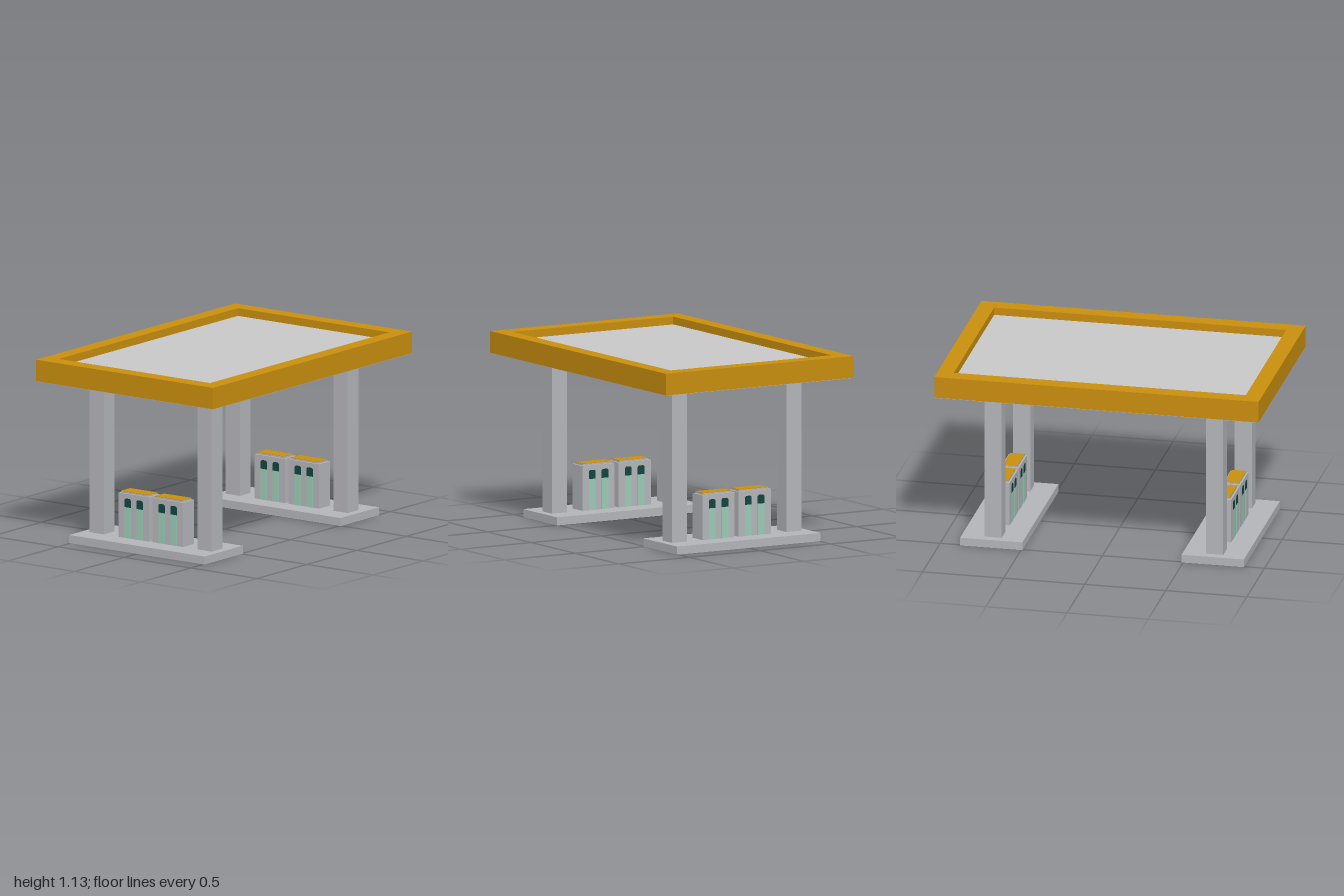
import * as THREE from 'three';

const paint = (name, color) => {
  const m = new THREE.MeshStandardMaterial({ color });
  m.name = name;
  return m;
};

export function createModel() {
  const concrete = paint('concrete grey', 0xb4b5b9);
  const roofGrey = paint('roof grey', 0xc8c8c8);
  const orange = paint('canopy orange', 0xc98e0e);
  const mint = paint('panel mint', 0x9accb6);
  const darkGreen = paint('nozzle dark green', 0x10443f);

  const model = new THREE.Group();
  model.name = 'fuelStation';

  const add = (parent, name, geometry, material, x = 0, y = 0, z = 0) => {
    const mesh = new THREE.Mesh(geometry, material);
    mesh.name = name;
    mesh.position.set(x, y, z);
    parent.add(mesh);
    return mesh;
  };
  // Box standing on height y
  const block = (parent, name, material, [w, h, d], x, y, z) =>
    add(parent, name, new THREE.BoxGeometry(w, h, d), material, x, y + h / 2, z);

  // Canopy: hollow rim, sunken roof deck and grey ceiling
  const rectangle = (Kind, a, b) => new Kind([[-a, -b], [a, -b], [a, b], [-a, b]]
    .map(([x, y]) => new THREE.Vector2(x, y)));
  const rimShape = rectangle(THREE.Shape, 1, 0.667);
  rimShape.holes.push(rectangle(THREE.Path, 0.9, 0.57));
  const rim = new THREE.ExtrudeGeometry(rimShape, { depth: 0.132, bevelEnabled: false });
  rim.rotateX(-Math.PI / 2);
  add(model, 'canopyRim', rim, orange, 0, 1, 0);
  block(model, 'roofDeck', roofGrey, [1.8, 0.085, 1.14], 0, 1, 0);
  block(model, 'ceiling', concrete, [2, 0.002, 1.334], 0, 0.998, 0);

  // Nozzle plate with clipped upper corners, base at y = 0
  const nozzleShape = new THREE.Shape([[-0.023, 0], [0.023, 0], [0.023, 0.046],
    [0.015, 0.054], [-0.015, 0.054], [-0.023, 0.046]].map(([x, y]) => new THREE.Vector2(x, y)));
  const nozzleGeometry = new THREE.ExtrudeGeometry(nozzleShape, { depth: 0.002, bevelEnabled: false });

  const makePump = () => {
    const pump = new THREE.Group();
    pump.name = 'pump';
    block(pump, 'pumpBody', concrete, [0.11, 0.273, 0.23], 0, 0, 0);
    block(pump, 'pumpCap', concrete, [0.09, 0.01, 0.205], 0, 0.273, 0);
    block(pump, 'pumpTop', orange, [0.09, 0.002, 0.205], 0, 0.283, 0);
    // Two hose panels on each long face
    for (const side of [-1, 1]) {
      for (const z of [-0.045, 0.045]) {
        block(pump, 'hosePanel', mint, [0.002, 0.19, 0.046], side * 0.056, 0, z);
        const nozzle = add(pump, 'nozzle', nozzleGeometry, darkGreen, side * 0.055, 0.19, z);
        nozzle.rotation.y = side * Math.PI / 2;
      }
    }
    return pump;
  };

  // Two islands, each with two pillars and two pumps
  for (const side of [-1, 1]) {
    const island = new THREE.Group();
    island.name = side > 0 ? 'leftIsland' : 'rightIsland';
    island.position.x = side * 0.683;
    block(island, 'islandBase', concrete, [0.384, 0.05, 1.02], 0, 0, 0);
    for (const end of [-1, 1]) {
      block(island, 'pillar', concrete, [0.107, 0.95, 0.107], 0, 0.05, end * 0.406);
      const pump = makePump();
      pump.position.set(0, 0.05, end > 0 ? 0.13 : -0.126);
      island.add(pump);
    }
    model.add(island);
  }
  return model;
}
